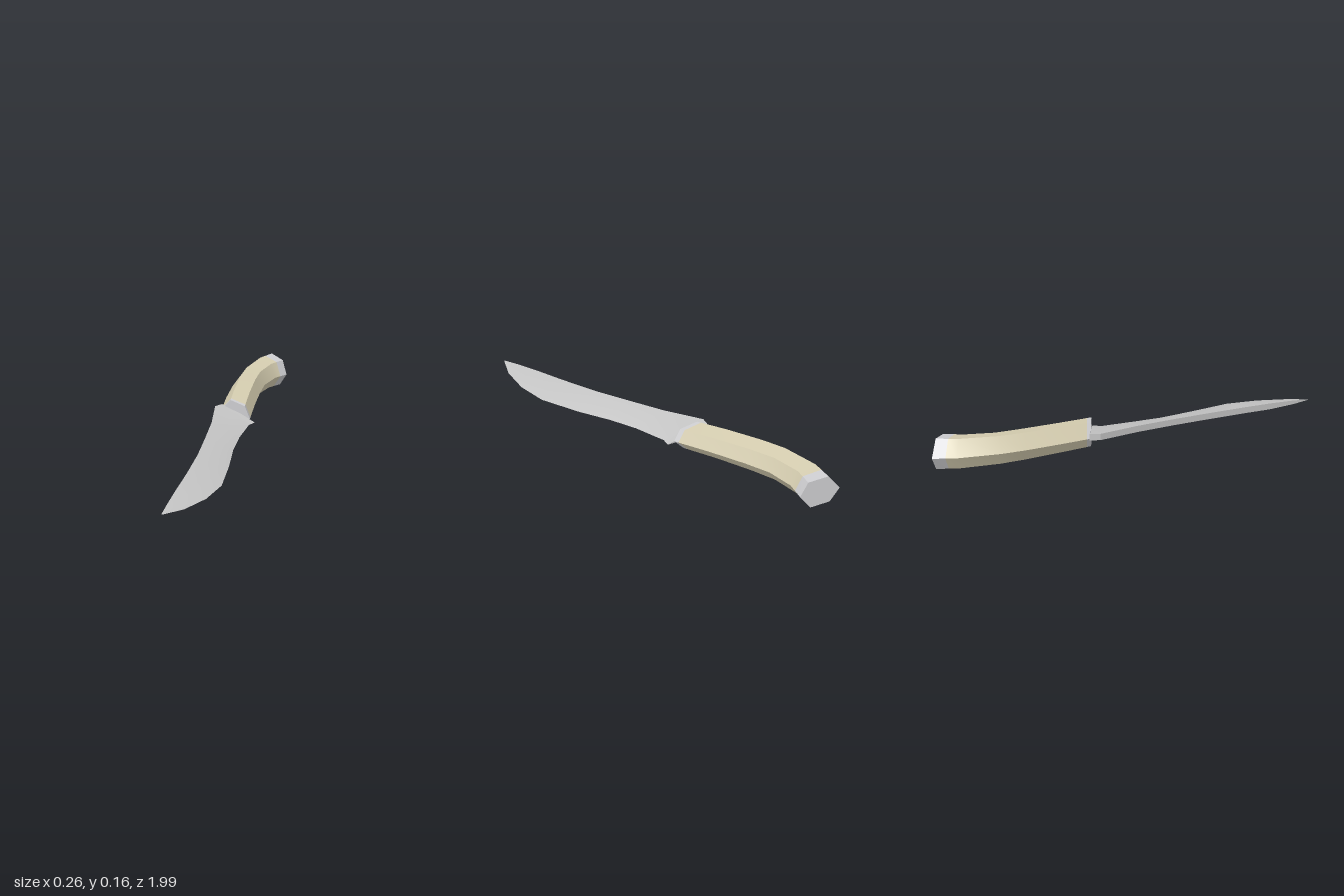
import * as THREE from 'three';
import { toCreasedNormals } from 'three/addons/utils/BufferGeometryUtils.js';

const material = (name, color, extra) => Object.assign(new THREE.MeshStandardMaterial({ color }), { name });
const steel = material('blade steel', 0xc4c4c4);
const capGrey = material('cap grey', 0xcdcdd0);
const bone = material('bone grip', 0xd5cdb0);

// Joins rings of points, listed from front to back, and closes both ends.
// paint(i) gives the material index of the segment after ring i (-1 and last are the ends).
function loft(rings, paint = () => 0) {
  const pos = [];
  const groups = [];
  const tri = (...pts) => pts.forEach((p) => pos.push(p.x, p.y, p.z));
  const n = rings[0].length;
  const last = rings.length - 1;
  const cap = (ring, flip) => {
    const mid = new THREE.Vector3();
    ring.forEach((p) => mid.addScaledVector(p, 1 / n));
    for (let j = 0; j < n; j++) {
      const a = ring[j], b = ring[(j + 1) % n];
      if (flip) tri(mid, b, a);
      else tri(mid, a, b);
    }
  };
  for (let i = -1; i <= last; i++) {
    const start = pos.length / 3;
    if (i === -1) cap(rings[0], true);
    else if (i === last) cap(rings[last], false);
    else {
      for (let j = 0; j < n; j++) {
        const k = (j + 1) % n;
        tri(rings[i][j], rings[i][k], rings[i + 1][k]);
        tri(rings[i][j], rings[i + 1][k], rings[i + 1][j]);
      }
    }
    groups.push([start, pos.length / 3 - start, paint(i)]);
  }
  const geometry = new THREE.BufferGeometry();
  geometry.setAttribute('position', new THREE.Float32BufferAttribute(pos, 3));
  const creased = toCreasedNormals(geometry, 0.5);
  creased.clearGroups();
  groups.forEach((g) => creased.addGroup(...g));
  return creased;
}

// Blade: stations from tip to heel, with a thick spine, a bevel line and a sharp edge
function createBlade() {
  // spine x, y, z, edge x, y, z, half thickness
  const stations = [
    [-0.02, 0.030, 0.99, -0.014, 0.029, 0.988, 0.001],
    [-0.022, 0.031, 0.90, 0.05, 0.022, 0.90, 0.010],
    [-0.026, 0.034, 0.76, 0.105, 0.018, 0.76, 0.016],
    [-0.03, 0.040, 0.60, 0.13, 0.018, 0.60, 0.016],
    [-0.042, 0.049, 0.38, 0.105, 0.022, 0.38, 0.016],
    [-0.06, 0.059, 0.20, 0.077, 0.031, 0.20, 0.016],
    [-0.083, 0.069, 0.0, 0.068, 0.040, 0.05, 0.016],
    [-0.123, 0.081, -0.21, 0.072, 0.045, -0.12, 0.016],
    [-0.10, 0.079, -0.255, 0.092, 0.047, -0.16, 0.016],
  ];
  const rings = stations.map(([sx, sy, sz, ex, ey, ez, t]) => {
    const spine = new THREE.Vector3(sx, sy, sz);
    const edge = new THREE.Vector3(ex, ey, ez);
    const bevel = spine.clone().lerp(edge, 0.6);
    const up = (p, d) => new THREE.Vector3(p.x, p.y + d, p.z);
    return [up(spine, t), up(bevel, t * 0.75), edge, up(bevel, -t * 0.75), up(spine, -t)];
  });
  const mesh = new THREE.Mesh(loft(rings), [steel]);
  mesh.name = 'blade';
  return mesh;
}

// Handle: a leaning six-sided section swept back along a bend
function createHandle() {
  const hexagon = [[-1, 0.08], [-0.37, 1], [0.64, 0.8], [1, -0.12], [0.42, -0.98], [-0.55, -0.78]];
  // left x, z, right x, z, centre y, half height
  let stations = [
    [-0.10, -0.25, 0.064, -0.175, 0.065, 0.065],
    [-0.118, -0.40, 0.042, -0.36, 0.073, 0.068],
    [-0.131, -0.58, 0.025, -0.55, 0.080, 0.072],
    [-0.131, -0.70, 0.02, -0.68, 0.084, 0.074],
    [-0.098, -0.90, 0.047, -0.81, 0.086, 0.078],
    [-0.055, -1.0, 0.092, -0.887, 0.085, 0.080],
  ];
  // Extra stations where the grey end bands meet the grip
  const between = (a, b, t) => a.map((v, k) => v + (b[k] - v) * t);
  stations.splice(5, 0, between(stations[4], stations[5], 0.45));
  stations.splice(1, 0, between(stations[0], stations[1], 0.13));
  const rings = stations.map(([lx, lz, rx, rz, y, h]) => hexagon.map(([u, v]) => {
    const t = (u + 1) / 2;
    return new THREE.Vector3(lx + (rx - lx) * t, y + v * h, lz + (rz - lz) * t);
  }));
  const grip = (i) => (i >= 1 && i < rings.length - 2 ? 0 : 1);
  const mesh = new THREE.Mesh(loft(rings, grip), [bone, capGrey]);
  mesh.name = 'handle';
  return mesh;
}

export function createModel() {
  const model = new THREE.Group();
  model.name = 'knife';
  model.add(createBlade(), createHandle());
  return model;
}
